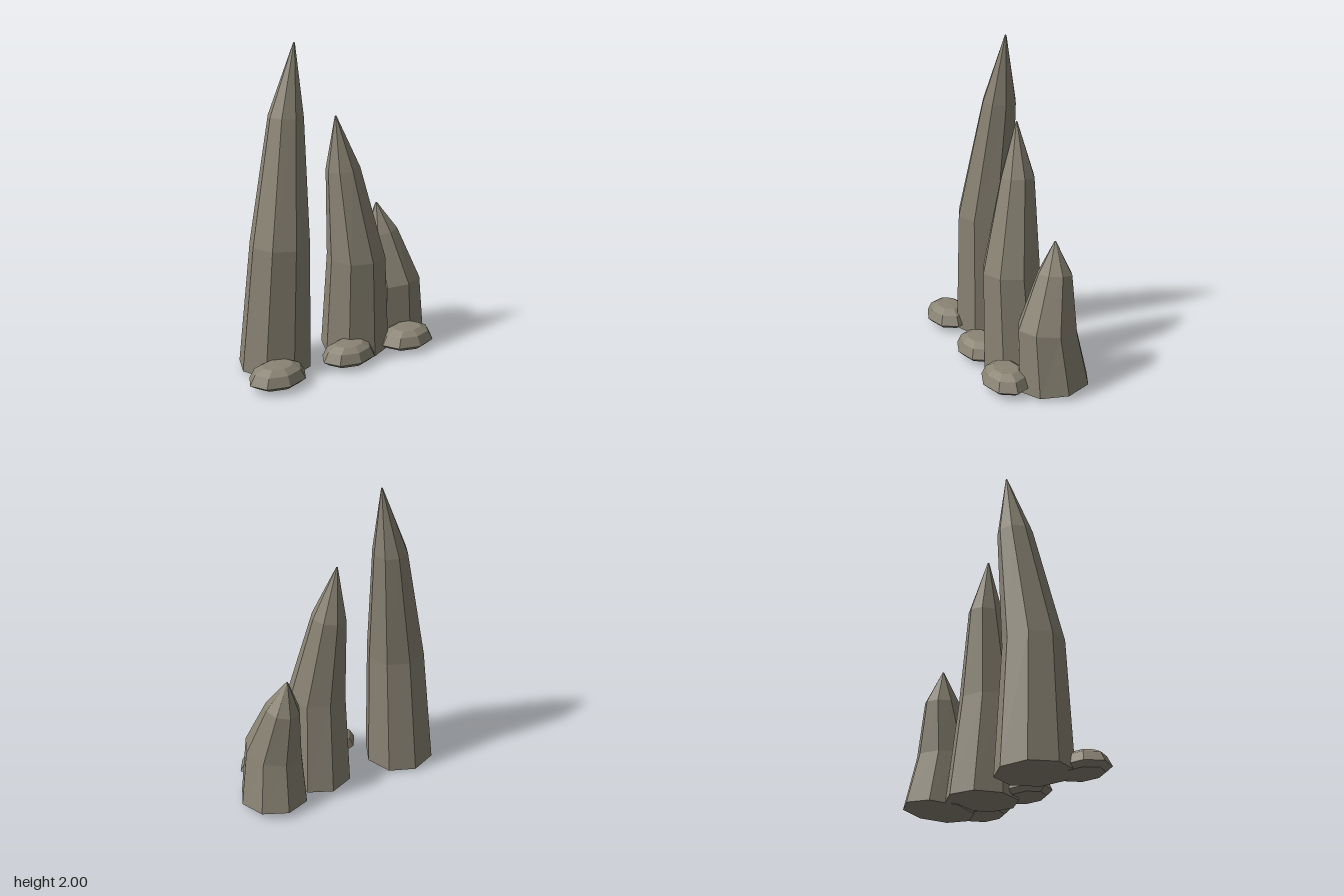
import * as THREE from 'three';

const SIDES = 8;

// Closed faceted solid through rings [x, y, z, radiusX, radiusZ, slopeX, slopeZ], bottom to top
function loft(rings) {
  const pos = [], index = [];
  for (const [x, y, z, rx, rz = rx, sx = 0, sz = 0] of rings) {
    for (let i = 0; i < SIDES; i++) {
      const a = (i / SIDES) * Math.PI * 2;
      const dx = Math.sin(a) * rx, dz = Math.cos(a) * rz;
      pos.push(x + dx, y + dx * sx + dz * sz, z + dz);
    }
  }
  const last = rings.length - 1;
  for (let r = 0; r < last; r++) {
    for (let i = 0; i < SIDES; i++) {
      const j = (i + 1) % SIDES;
      const a = r * SIDES + i, b = r * SIDES + j;
      index.push(a, b, b + SIDES, a, b + SIDES, a + SIDES);
    }
  }
  // flat end caps
  for (let i = 1; i < SIDES - 1; i++) {
    index.push(0, i + 1, i);
    index.push(last * SIDES, last * SIDES + i, last * SIDES + i + 1);
  }
  const geo = new THREE.BufferGeometry();
  geo.setAttribute('position', new THREE.Float32BufferAttribute(pos, 3));
  geo.setIndex(index);
  const flat = geo.toNonIndexed();
  flat.computeVertexNormals();
  return flat;
}

export function createModel() {
  const group = new THREE.Group();
  const stone = new THREE.MeshStandardMaterial({ color: 0x8a8474 });
  stone.name = 'stone';

  const add = (name, rings) => {
    const mesh = new THREE.Mesh(loft(rings), stone);
    mesh.name = name;
    group.add(mesh);
  };

  // Leaning spires: base, middle, shoulder and tip
  add('tallSpire', [
    [-0.417, 0.022, -0.06, 0.227, 0.225, -0.03, 0.01],
    [-0.385, 0.82, -0.03, 0.186, 0.184, -0.03, 0],
    [-0.293, 1.575, -0.09, 0.108, 0.11, -0.04, 0.02],
    [-0.222, 2.0, -0.102, 0.005],
  ]);
  add('middleSpire', [
    [0.162, 0.018, -0.018, 0.217, 0.222, 0.01, -0.02],
    [0.145, 0.64, 0.015, 0.186, 0.185, 0, 0],
    [0.088, 1.205, -0.048, 0.108, 0.108, 0.12, 0.02],
    [0.042, 1.535, -0.06, 0.005],
  ]);
  add('shortSpire', [
    [0.512, 0.027, -0.102, 0.218, 0.222, 0.05, -0.1],
    [0.49, 0.38, -0.068, 0.182, 0.187, 0.09, 0.1],
    [0.447, 0.705, -0.133, 0.108, 0.108, 0.16, 0.12],
    [0.419, 0.895, -0.145, 0.005],
  ]);

  // Flat pebbles along the front: [x, z, half width, half depth]
  const pebbles = [
    [-0.543, 0.178, 0.192, 0.143],
    [-0.018, 0.17, 0.186, 0.136],
    [0.432, 0.178, 0.19, 0.143],
  ];
  // pebble profile: [height, scale]
  const profile = [[0.027, 0.78], [0.055, 1], [0.115, 0.82], [0.143, 0.52], [0.146, 0.02]];
  pebbles.forEach(([x, z, rx, rz], i) => {
    add('pebble' + (i + 1), profile.map(([y, s]) => [x, y, z, rx * s, rz * s]));
  });

  return group;
}
